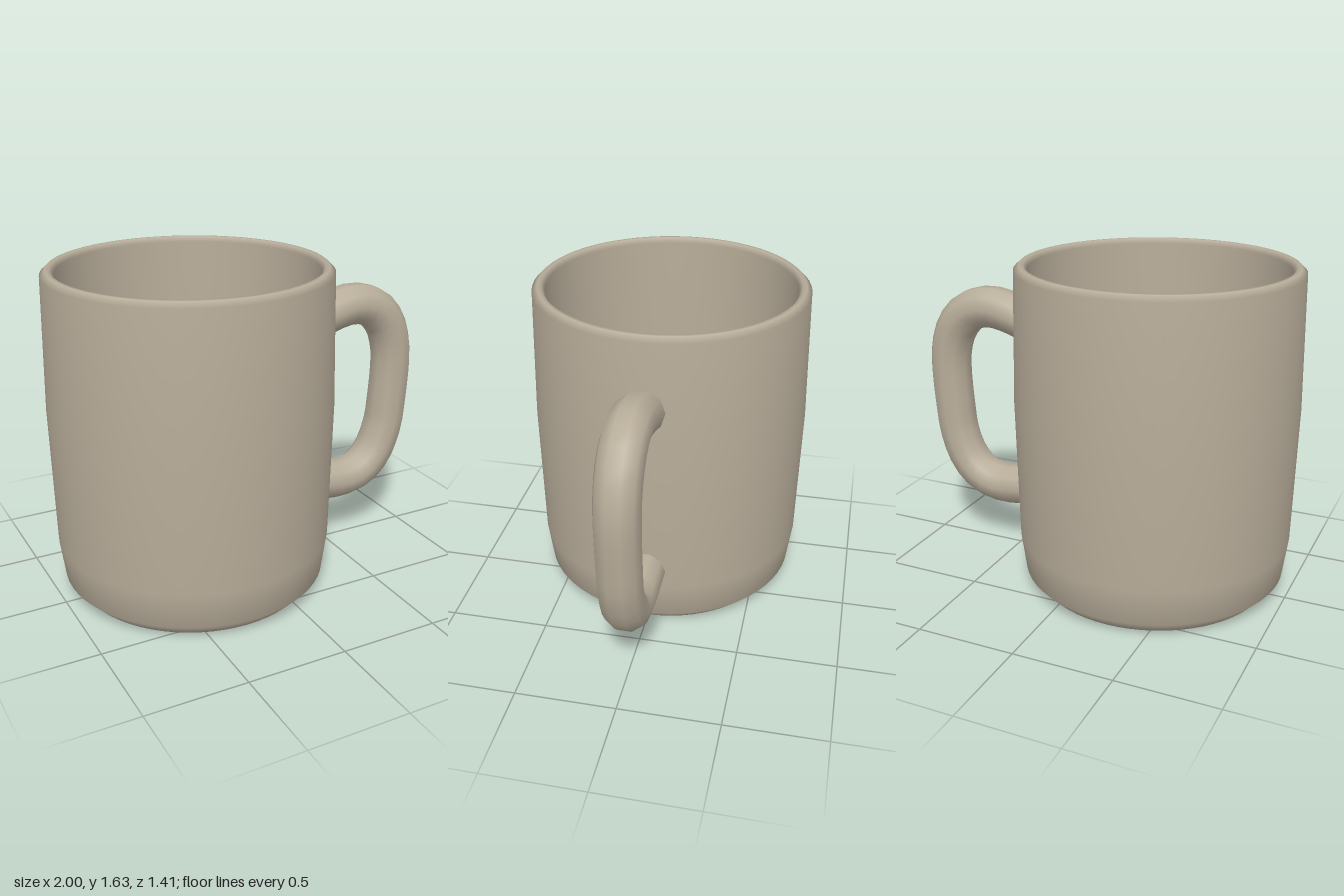
import * as THREE from 'three';

export function createModel() {
  const model = new THREE.Group();
  model.name = 'mug';
  const clay = new THREE.MeshStandardMaterial({ color: 0xb8ad9a });
  clay.name = 'clay';
  const vectors = (points) => points.map(([x, y]) => new THREE.Vector2(x, y));

  // Cup: one closed profile, up the outside, over the rim and down the inside
  const profile = vectors([
    [0, 0], [0.597, 0], [0.665, 0.07], [0.69, 0.26], [0.705, 0.95],
    [0.692, 1.61], [0.665, 1.635], [0.645, 1.635], [0.627, 1.61],
    [0.635, 0.95], [0.622, 0.27], [0.595, 0.12], [0.54, 0.07], [0, 0.07],
  ]);
  const cup = new THREE.Mesh(new THREE.LatheGeometry(profile, 64), clay);
  cup.name = 'cup';
  cup.position.x = -0.295;
  model.add(cup);

  // Handle: ten-sided tube whose ends sit inside the cup wall
  const path = new THREE.CatmullRomCurve3([
    [0.365, 1.254], [0.44, 1.282], [0.55, 1.315], [0.65, 1.326], [0.76, 1.292],
    [0.845, 1.2], [0.886, 1.08], [0.894, 0.98], [0.882, 0.76], [0.863, 0.61],
    [0.803, 0.46], [0.71, 0.371], [0.6, 0.344], [0.48, 0.353], [0.365, 0.362],
  ].map(([x, y]) => new THREE.Vector3(x, y, 0)));
  const handle = new THREE.Mesh(new THREE.TubeGeometry(path, 28, 0.109, 10), clay);
  handle.name = 'handle';
  model.add(handle);

  return model;
}
